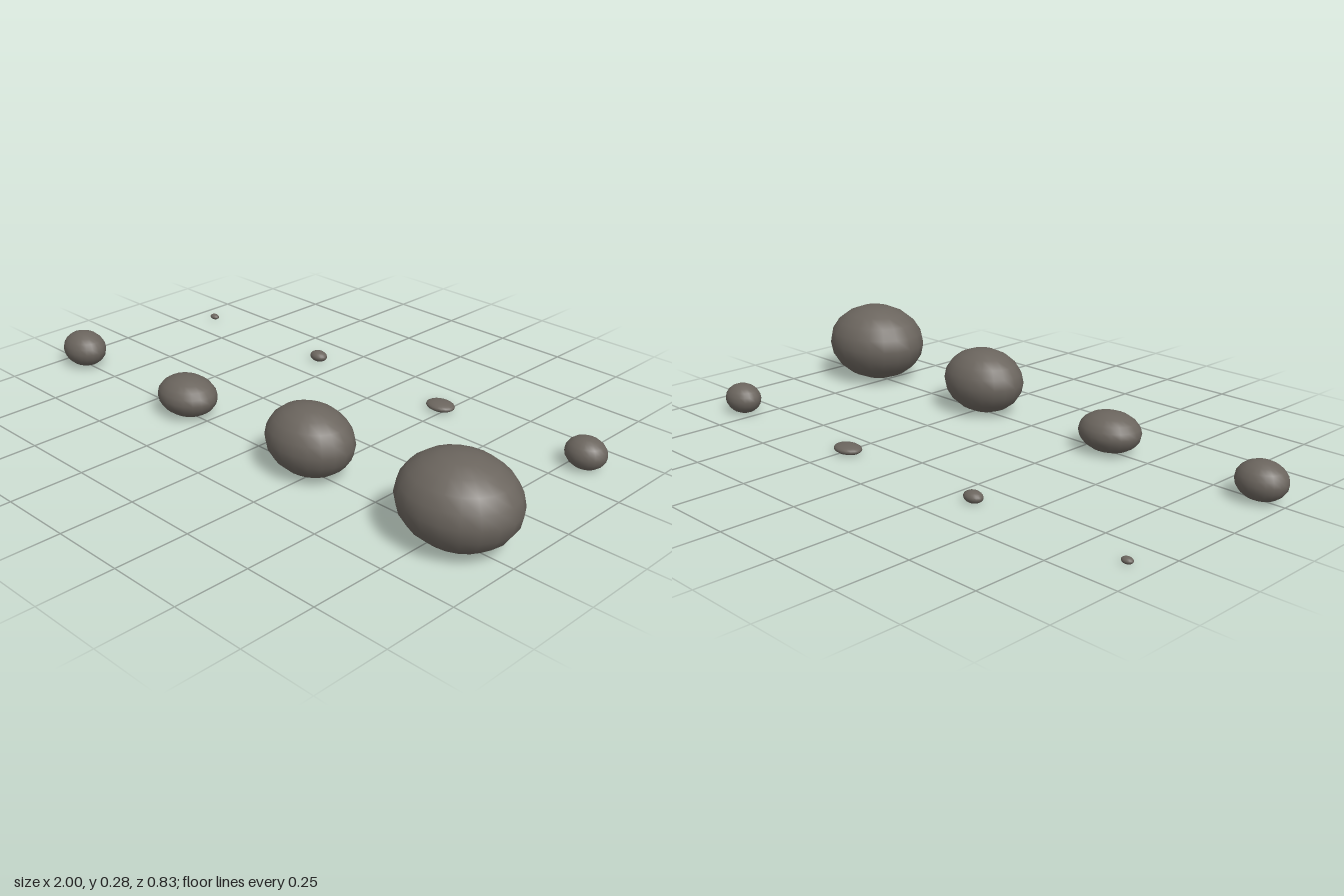
import * as THREE from 'three';

// Two rows of smooth pebbles, each an ellipsoid resting on the ground
const ROWS = [
  { name: 'frontPebble', z: 0.253, radii: [
    [0.085, 0.062, 0.07], [0.111, 0.067, 0.09], [0.153, 0.112, 0.122], [0.191, 0.138, 0.163]] },
  { name: 'backPebble', z: -0.359, radii: [
    [0.019, 0.01, 0.014], [0.034, 0.019, 0.026], [0.053, 0.016, 0.04], [0.07, 0.052, 0.057]] },
];

export function createModel() {
  const model = new THREE.Group();
  model.name = 'pebbles';
  const stone = new THREE.MeshStandardMaterial({ color: 0x6b655e });
  stone.name = 'stone grey';
  const ball = new THREE.SphereGeometry(1, 20, 10);

  for (const row of ROWS) {
    row.radii.forEach(([rx, ry, rz], i) => {
      const pebble = new THREE.Mesh(ball, stone);
      pebble.name = `${row.name}${i + 1}`;
      pebble.scale.set(rx, ry, rz);
      pebble.position.set(-0.915 + i * 0.574, ry, row.z);
      model.add(pebble);
    });
  }
  return model;
}
